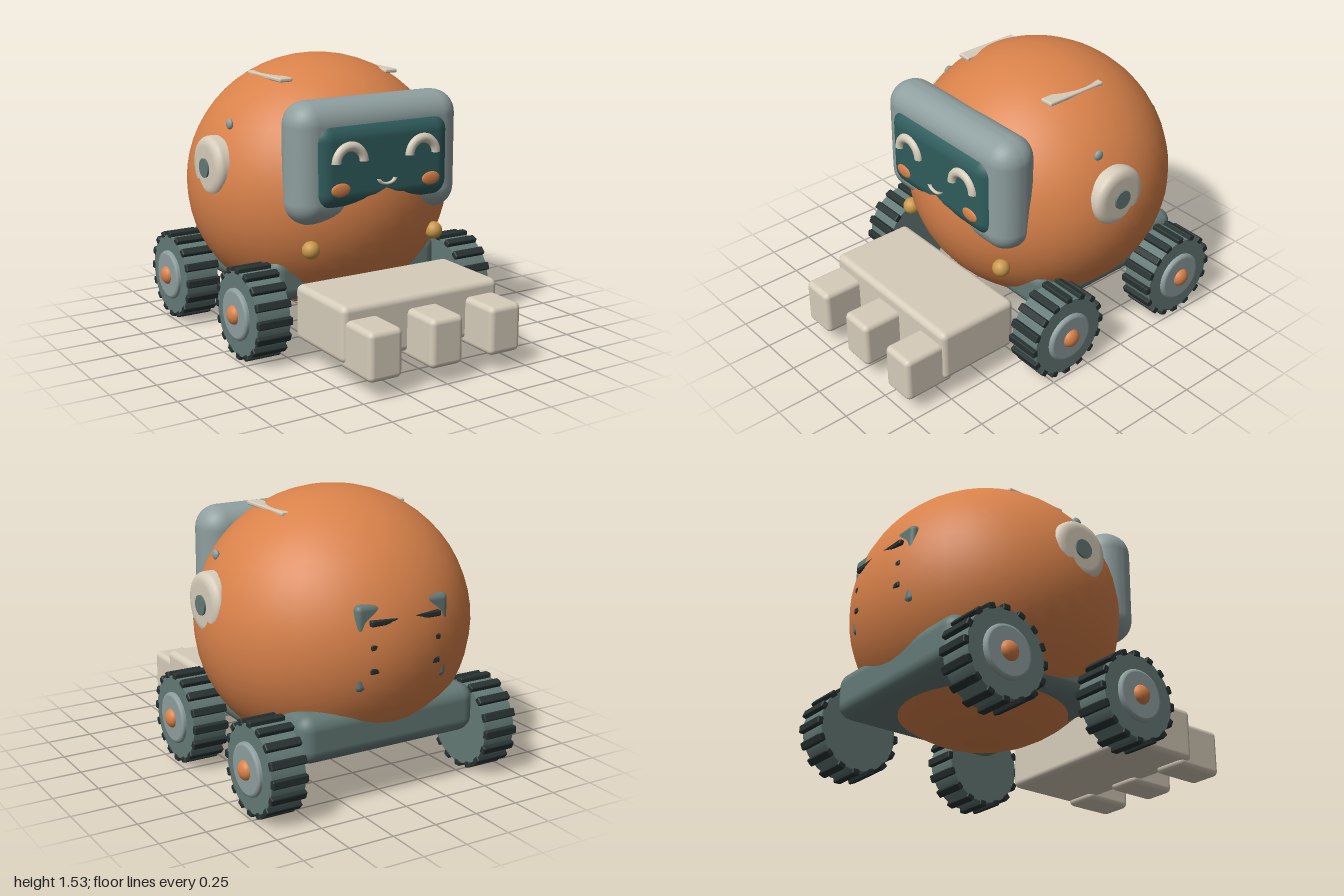
import * as THREE from 'three';
import { RoundedBoxGeometry } from 'three/addons/geometries/RoundedBoxGeometry.js';

const mat = (name, color) => {
  const m = new THREE.MeshStandardMaterial({ color });
  m.name = name;
  return m;
};

export function createModel() {
  const orange = mat('orange', 0xd9824a);
  const cream = mat('cream', 0xd6ccba);
  const greyBlue = mat('greyBlue', 0x8f9f9f);
  const slate = mat('slate', 0x647a76);
  const deepTeal = mat('deepTeal', 0x2f5c5c);
  const rubber = mat('rubber', 0x273231);
  const gold = mat('gold', 0xc8984a);

  const model = new THREE.Group();
  model.name = 'roundRover';

  const add = (name, geometry, material, [x, y, z], parent = model) => {
    const mesh = new THREE.Mesh(geometry, material);
    mesh.name = name;
    mesh.position.set(x, y, z);
    parent.add(mesh);
    return mesh;
  };
  const block = (name, material, [w, h, d], r, pos) =>
    add(name, new RoundedBoxGeometry(w, h, d, 4, r), material, pos);
  const ellipsoid = (name, material, [rx, ry, rz], pos, parent = model, seg = 20) =>
    add(name, new THREE.SphereGeometry(1, seg, Math.round(seg * 0.7)).scale(rx, ry, rz), material, pos, parent);

  // Body and chassis
  ellipsoid('body', orange, [0.74, 0.71, 0.72], [0, 0.82, -0.28], model, 40);
  block('chassis', slate, [1.06, 0.26, 1.03], 0.08, [0, 0.39, -0.355]);

  // Face: padded frame with a domed screen
  block('visorFrame', greyBlue, [1.02, 0.65, 0.265], 0.125, [0, 1.045, 0.27]);
  block('screen', deepTeal, [0.84, 0.47, 0.22], 0.1, [0, 1.035, 0.325]);
  const smile = add('smile', new THREE.TorusGeometry(0.05, 0.012, 8, 20, Math.PI), cream, [0, 0.955, 0.438]);
  smile.rotation.z = Math.PI;
  smile.scale.y = 0.6;

  // Front scoop and its fingers
  block('scoop', cream, [0.96, 0.3, 0.48], 0.035, [0, 0.27, 0.54]);
  for (const x of [-0.365, 0, 0.365]) {
    block('scoopFinger', cream, [0.195, 0.26, 0.3], 0.03, [x, 0.22, 0.85]);
  }

  // Rear vent panel with slats
  block('ventPanel', slate, [0.54, 0.44, 0.08], 0.03, [0, 0.85, -0.905]);
  for (const y of [0.98, 0.86, 0.74]) {
    block('ventSlat', rubber, [0.41, 0.03, 0.04], 0.008, [0, y, -0.955]);
  }

  // Side profiles turned around the x axis: points are (radius, distance outward)
  const turned = (pts, seg) =>
    new THREE.LatheGeometry(pts.map(([r, h]) => new THREE.Vector2(r, h)), seg).rotateZ(-Math.PI / 2);
  const earShape = turned([[0.165, -0.13], [0.165, -0.04], [0.161, -0.024], [0.15, -0.01],
    [0.13, -0.002], [0.11, 0], [0, 0]], 32);
  const rimShape = turned([[0.14, -0.04], [0.14, 0.005], [0.135, 0.014], [0.125, 0.018],
    [0.122, 0.018], [0, 0.018]], 32);

  // Wheel with its axis along x and its outer side at +x
  const makeWheel = () => {
    const wheel = new THREE.Group();
    wheel.name = 'wheel';
    add('tire', new THREE.CylinderGeometry(0.228, 0.228, 0.19, 32).rotateZ(Math.PI / 2), slate, [0, 0, 0], wheel);
    add('rim', rimShape, greyBlue, [0.1, 0, 0], wheel);
    ellipsoid('hub', orange, [0.04, 0.053, 0.053], [0.112, 0, 0], wheel);
    const treadShape = new RoundedBoxGeometry(0.2, 0.034, 0.044, 2, 0.008);
    for (let i = 0; i < 16; i++) {
      const a = (i / 16) * Math.PI * 2;
      const tread = add('tread', treadShape, rubber, [0, Math.cos(a) * 0.234, Math.sin(a) * 0.234], wheel);
      tread.rotation.x = a;
    }
    return wheel;
  };

  // Mirrored parts
  for (const s of [1, -1]) {
    const turn = s > 0 ? 0 : Math.PI;

    for (const z of [0.14, -0.7]) {
      const wheel = makeWheel();
      wheel.position.set(s * 0.64, 0.252, z);
      wheel.rotation.y = turn;
      model.add(wheel);
    }

    add('ear', earShape, cream, [s * 0.735, 0.975, -0.21]).rotation.y = turn;
    add('earCap', new THREE.CylinderGeometry(0.052, 0.052, 0.06, 24).rotateZ(Math.PI / 2),
      slate, [s * 0.715, 0.97, -0.21]);
    ellipsoid('rivet', greyBlue, [0.016, 0.028, 0.028], [s * 0.615, 1.205, -0.145]);
    block('roofStrip', cream, [0.078, 0.022, 0.37], 0.008, [s * 0.333, 1.432, -0.215]);

    add('eye', new THREE.TorusGeometry(0.083, 0.027, 10, 28, Math.PI), cream, [s * 0.225, 1.06, 0.432]);
    ellipsoid('cheek', orange, [0.058, 0.036, 0.012], [s * 0.28, 0.92, 0.434]);
    ellipsoid('lamp', gold, [0.048, 0.048, 0.048], [s * 0.39, 0.59, 0.315]);
  }

  return model;
}
